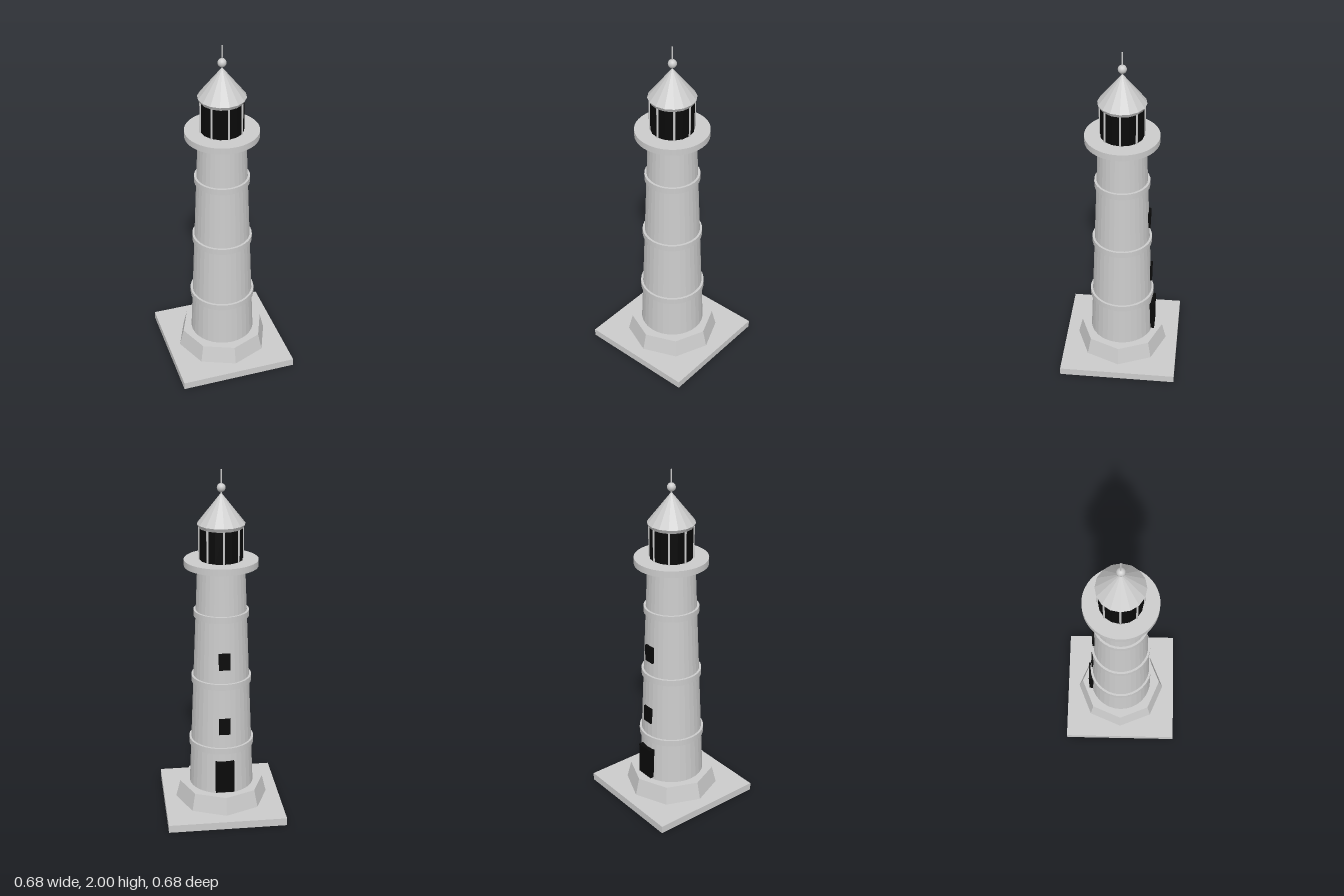
import * as THREE from 'three';

export function createModel() {
  const group = new THREE.Group();
  group.name = 'lighthouse';
  const grey = new THREE.MeshStandardMaterial({ color: 0xcccccc });
  const greyFlat = new THREE.MeshStandardMaterial({ color: 0xcccccc, flatShading: true });
  const black = new THREE.MeshStandardMaterial({ color: 0x0a0a0a, flatShading: true });

  function add(name, geometry, material, x, y, z) {
    const mesh = new THREE.Mesh(geometry, material);
    mesh.name = name;
    mesh.position.set(x, y, z);
    group.add(mesh);
    return mesh;
  }
  // Upright drum or frustum between two heights
  function drum(name, y0, y1, r0, r1, sides, material, x = 0, z = 0) {
    return add(name, new THREE.CylinderGeometry(r1, r0, y1 - y0, sides), material, x, (y0 + y1) / 2, z);
  }

  // Foundation
  add('basePlate', new THREE.BoxGeometry(0.68, 0.045, 0.68), greyFlat, 0, 0.0225, 0);
  drum('plinth', 0.045, 0.147, 0.27, 0.245, 8, greyFlat);

  // Tapered tower with raised bands
  drum('tower', 0.147, 1.47, 0.187, 0.133, 32, greyFlat);
  [[0.416, 0.188], [0.807, 0.172], [1.199, 0.156]].forEach(([y, r], i) =>
    drum('band' + (i + 1), y - 0.018, y + 0.018, r, r, 32, grey));

  // Door and windows on the back of the tower: bottom, top, width, outer z
  [
    ['door', 0.16, 0.35, 0.107, -0.2],
    ['lowerWindow', 0.518, 0.615, 0.064, -0.178],
    ['upperWindow', 0.908, 1.005, 0.064, -0.163],
  ].forEach(([name, y0, y1, width, z]) =>
    add(name, new THREE.BoxGeometry(width, y1 - y0, 0.04), black, 0, (y0 + y1) / 2, z + 0.02));

  // Gallery and lantern room
  drum('gallery', 1.47, 1.507, 0.206, 0.206, 48, grey);
  drum('lanternGlass', 1.507, 1.687, 0.12, 0.12, 16, black);
  for (let i = 0; i < 8; i++) {
    const a = (i * Math.PI) / 4;
    drum('lanternPost' + (i + 1), 1.507, 1.687, 0.006, 0.006, 8, grey, 0.12 * Math.sin(a), 0.12 * Math.cos(a));
  }

  // Roof with flared eave, ball and spire
  drum('eave', 1.685, 1.706, 0.122, 0.133, 16, greyFlat);
  add('roof', new THREE.ConeGeometry(0.133, 0.17, 16), greyFlat, 0, 1.791, 0);
  add('ball', new THREE.SphereGeometry(0.024, 16, 12), grey, 0, 1.902, 0);
  drum('spire', 1.86, 2, 0.004, 0.004, 8, grey);

  return group;
}
